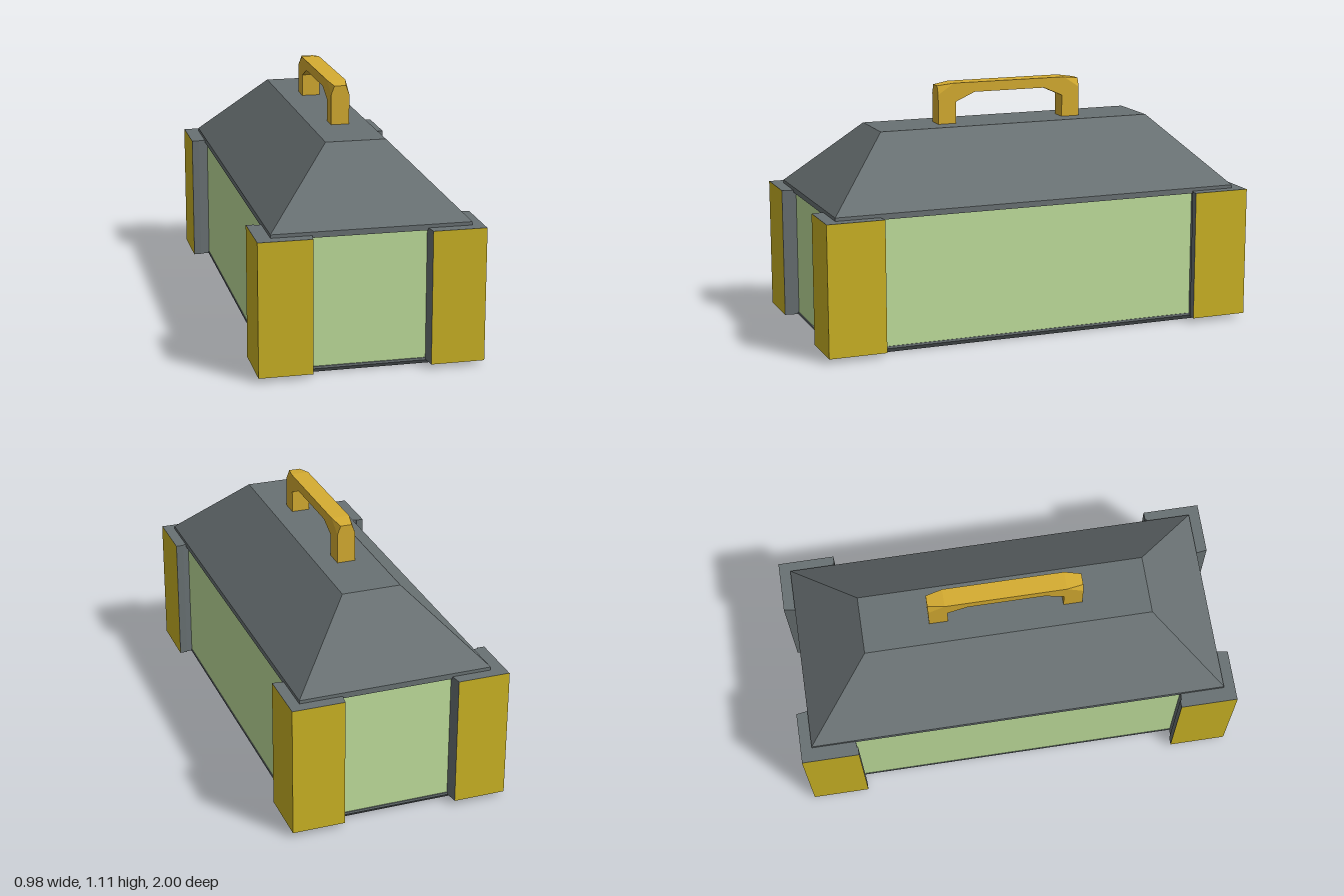
import * as THREE from 'three';
import { ConvexGeometry } from 'three/addons/geometries/ConvexGeometry.js';

const material = (color) => new THREE.MeshStandardMaterial({ color, flatShading: true });
const grey = material(0x697173);
const green = material(0xc0df9c);
const yellow = material(0xcbb324);
const gold = material(0xd5ac31);

const CX = 0.0075; // the box sits slightly off centre between the corner posts

function add(parent, name, geometry, mat) {
  const mesh = new THREE.Mesh(geometry, mat);
  mesh.name = name;
  parent.add(mesh);
  return mesh;
}

// Vertical extrusion of an outline given as [x, z] points
function prism(points, y0, y1, hole) {
  const toVec = ([x, z]) => new THREE.Vector2(x, -z);
  const shape = new THREE.Shape(points.map(toVec));
  if (hole) shape.holes.push(new THREE.Path(hole.map(toVec)));
  const g = new THREE.ExtrudeGeometry(shape, { depth: y1 - y0, bevelEnabled: false });
  return g.rotateX(-Math.PI / 2).translate(0, y0, 0);
}

const rect = (hx, hz) => [[hx, hz], [-hx, hz], [-hx, -hz], [hx, -hz]];
const corners = (hx, y, hz) => rect(hx, hz).map(([x, z]) => new THREE.Vector3(x, y, z));

function createBox() {
  const box = new THREE.Group();
  box.name = 'box';
  box.position.x = CX;

  // Base rim, chamfered inwards at the bottom, around a recessed floor
  const rim = prism(rect(0.423, 0.94), 0, 0.02, rect(0.31, 0.825));
  const p = rim.attributes.position;
  for (let i = 0; i < p.count; i++) {
    if (p.getY(i) < 0.01 && Math.abs(p.getX(i)) > 0.4) {
      p.setX(i, Math.sign(p.getX(i)) * 0.407);
      p.setZ(i, Math.sign(p.getZ(i)) * 0.922);
    }
  }
  rim.computeVertexNormals();
  add(box, 'baseRim', rim, grey);
  add(box, 'baseSill', prism(rect(0.423, 0.94), 0.02, 0.03, rect(0.31, 0.825)), grey);
  add(box, 'baseCollar', prism(rect(0.39, 0.9), 0.03, 0.04, rect(0.31, 0.825)), grey);
  add(box, 'floor', prism(rect(0.39, 0.9), 0.04, 0.05), grey);

  // Coloured walls
  add(box, 'wallPanels', prism(rect(0.42, 0.935), 0.03, 0.6, rect(0.395, 0.91)), green);

  // Hipped lid with a thin eave
  const lid = [
    ...corners(0.4325, 0.6, 0.947),
    ...corners(0.4325, 0.625, 0.947),
    ...corners(0.1325, 0.926, 0.646),
  ];
  add(box, 'lid', new ConvexGeometry(lid), grey);
  return box;
}

// Angled corner post with coloured outer plates
function createPost(sx, sz) {
  const post = new THREE.Group();
  post.name = 'cornerPost';
  const outline = [
    [0.489, 0.999], [0.256, 0.999], [0.246, 0.93], [0.4, 0.93],
    [0.4, 0.75], [0.455, 0.745], [0.455, 0.74], [0.489, 0.74],
  ].map(([x, z]) => [x * sx, z * sz]);
  add(post, 'postCore', prism(outline, 0.02, 0.61), grey);

  const end = add(post, 'endPlate', new THREE.PlaneGeometry(0.234, 0.59), yellow);
  end.position.set(sx * 0.373, 0.315, sz);
  end.rotation.y = sz > 0 ? 0 : Math.PI;

  const side = add(post, 'sidePlate', new THREE.PlaneGeometry(0.26, 0.59), yellow);
  side.position.set(sx * 0.49, 0.315, sz * 0.87);
  side.rotation.y = (sx * Math.PI) / 2;
  return post;
}

// Arched carrying handle running along z
function createHandle() {
  const handle = new THREE.Group();
  handle.name = 'handle';
  handle.position.x = 0.01;
  const w = 0.041;
  const half = [[0.345, 0.92], [0.345, 1.06], [0.27, 1.11]];
  const inner = [[0.17, 1.065], [0.26, 1.025], [0.26, 0.92]];
  const flip = (pts) => pts.map(([z, y]) => [-z, y]).reverse();
  const outline = [...half, ...flip(half), ...flip(inner), ...inner];
  const shape = new THREE.Shape(outline.map(([z, y]) => new THREE.Vector2(z, y)));
  const grip = new THREE.ExtrudeGeometry(shape, { depth: 2 * w, bevelEnabled: false });
  grip.translate(0, 0, -w).rotateY(-Math.PI / 2);
  add(handle, 'grip', grip, gold);

  // Pinched shoulders on the outer corners
  for (const s of [1, -1]) {
    const pts = [];
    for (const x of [1, -1]) {
      pts.push(
        new THREE.Vector3(x * w, 1.06, s * 0.345),
        new THREE.Vector3(x * w, 1.11, s * 0.27),
        new THREE.Vector3(x * 0.026, 1.1, s * 0.345),
      );
    }
    add(handle, 'gripShoulder', new ConvexGeometry(pts), gold);
  }
  return handle;
}

export function createModel() {
  const model = new THREE.Group();
  model.name = 'toolbox';
  model.add(createBox(), createHandle());
  for (const sx of [1, -1]) for (const sz of [1, -1]) model.add(createPost(sx, sz));
  return model;
}
